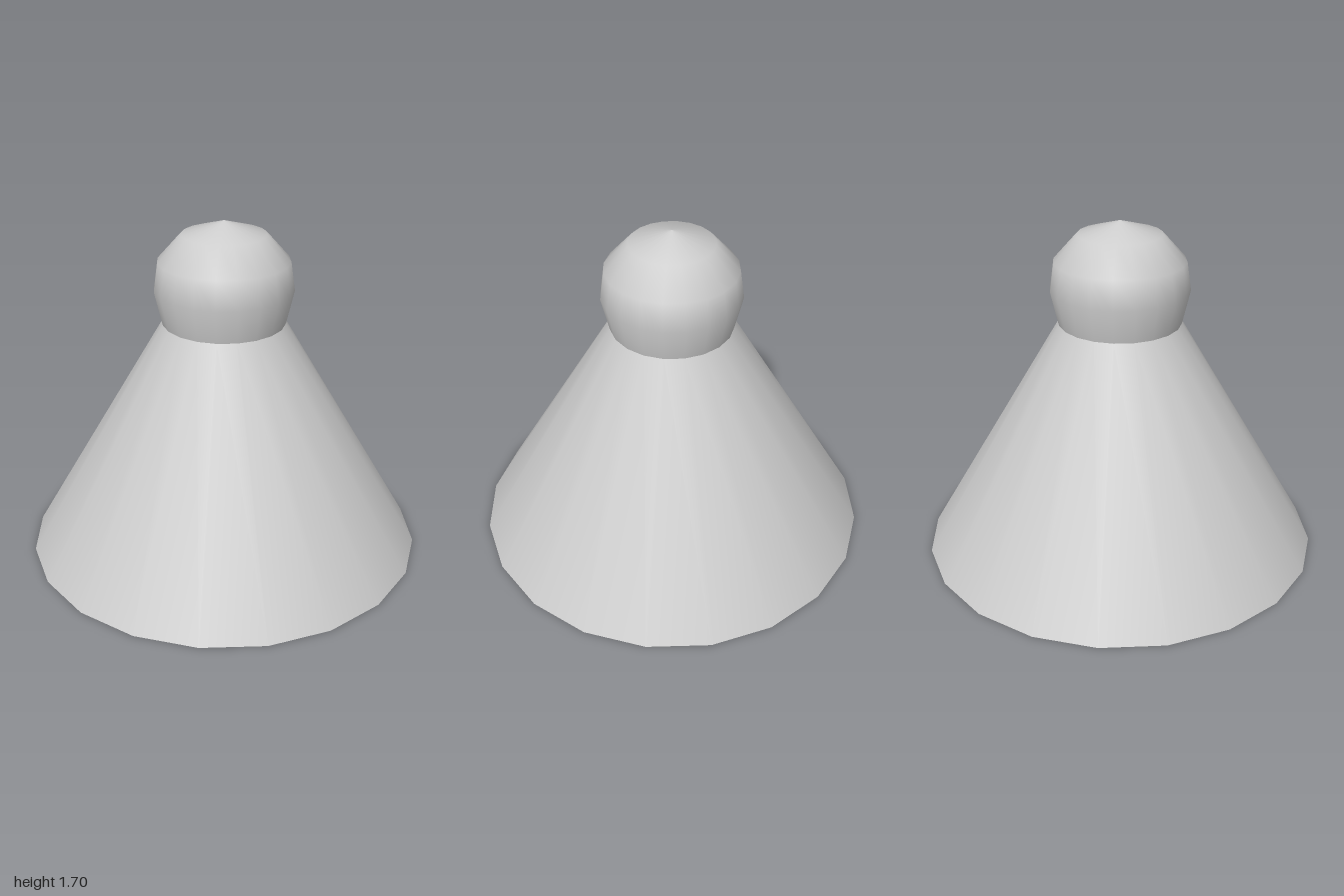
import * as THREE from 'three';

const SIDES = 20;

// Revolves a bottom-to-top profile of [radius, height] pairs into an open shell
function shell(name, profile, material) {
  const points = profile.map(([r, y]) => new THREE.Vector2(r, y));
  const mesh = new THREE.Mesh(new THREE.LatheGeometry(points, SIDES), material);
  mesh.name = name;
  return mesh;
}

export function createModel() {
  const group = new THREE.Group();
  group.name = 'pawn';
  const material = new THREE.MeshStandardMaterial({ color: 0xcccccc, side: THREE.DoubleSide });

  // Hollow conical body, open at the bottom
  group.add(shell('body', [[1, 0], [0.303, 1.19]], material));

  // Rounded head, a separate shell so the neck edge stays sharp
  group.add(shell('head', [
    [0.303, 1.19], [0.342, 1.36], [0.322, 1.5], [0.206, 1.63], [0, 1.695],
  ], material));

  return group;
}
